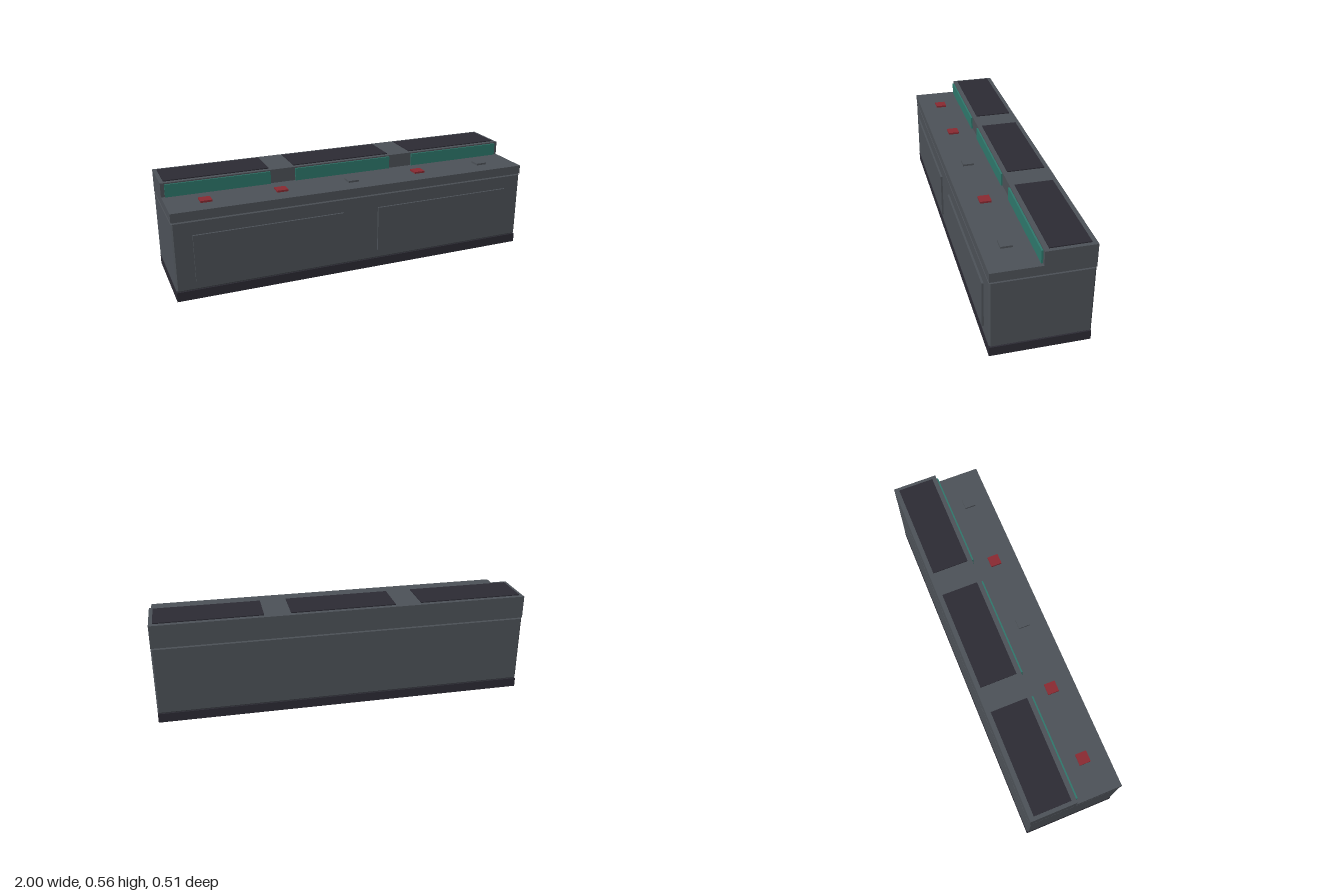
import * as THREE from 'three';
import { ConvexGeometry } from 'three/addons/geometries/ConvexGeometry.js';

const material = (name, color) => {
  const m = new THREE.MeshStandardMaterial({ color });
  m.name = name;
  return m;
};

// Box with every edge cut at 45 degrees
function chamferedBox(w, h, d, c) {
  const points = [];
  for (const x of [-1, 1]) for (const y of [-1, 1]) for (const z of [-1, 1]) {
    for (let axis = 0; axis < 3; axis++) {
      const inset = [c, c, c];
      inset[axis] = 0;
      points.push(new THREE.Vector3(
        x * (w / 2 - inset[0]), y * (h / 2 - inset[1]), z * (d / 2 - inset[2])));
    }
  }
  return new ConvexGeometry(points);
}

export function createModel() {
  const grey = material('casing grey', 0x4d5258);
  const dark = material('dark trim', 0x2c2b34);
  const teal = material('screen teal', 0x2e786c);
  const red = material('button red', 0x8a2a32);

  const model = new THREE.Group();
  model.name = 'controlConsole';

  const add = (name, geometry, mat, x, y, z) => {
    const mesh = new THREE.Mesh(geometry, mat);
    mesh.name = name;
    mesh.position.set(x, y, z);
    model.add(mesh);
  };
  // Box given by x centre and width, then y and z ranges
  const box = (name, mat, x, w, y0, y1, z0, z1) =>
    add(name, new THREE.BoxGeometry(w, y1 - y0, z1 - z0), mat, x, (y0 + y1) / 2, (z0 + z1) / 2);

  // Plinth and chamfered cabinet
  box('plinth', dark, 0, 2, 0, 0.05, -0.255, 0.245);
  add('cabinet', chamferedBox(2, 0.377, 0.5, 0.008), grey, 0, 0.2385, -0.005);

  // Desk top and the raised housing behind it
  box('deskTop', grey, 0, 2, 0.427, 0.475, -0.255, 0.245);
  box('rearHousing', grey, 0, 2, 0.475, 0.55, -0.255, -0.005);

  // Front access panels
  for (const x of [-0.5, 0.5]) box('accessPanel', grey, x, 0.8, 0.1, 0.35, 0.245, 0.255);

  // Screens with dark plates above them
  for (const x of [-0.7, 0, 0.7]) {
    box('screen', teal, x, 0.56, 0.475, 0.543, -0.005, 0.004);
    box('topPlate', dark, x, 0.56, 0.55, 0.555, -0.23, -0.03);
  }

  // Desk buttons
  [red, red, grey, red, grey].forEach((mat, i) =>
    box('button', mat, (i - 2) * 0.4, 0.06, 0.475, 0.485, 0.09, 0.15));

  return model;
}
